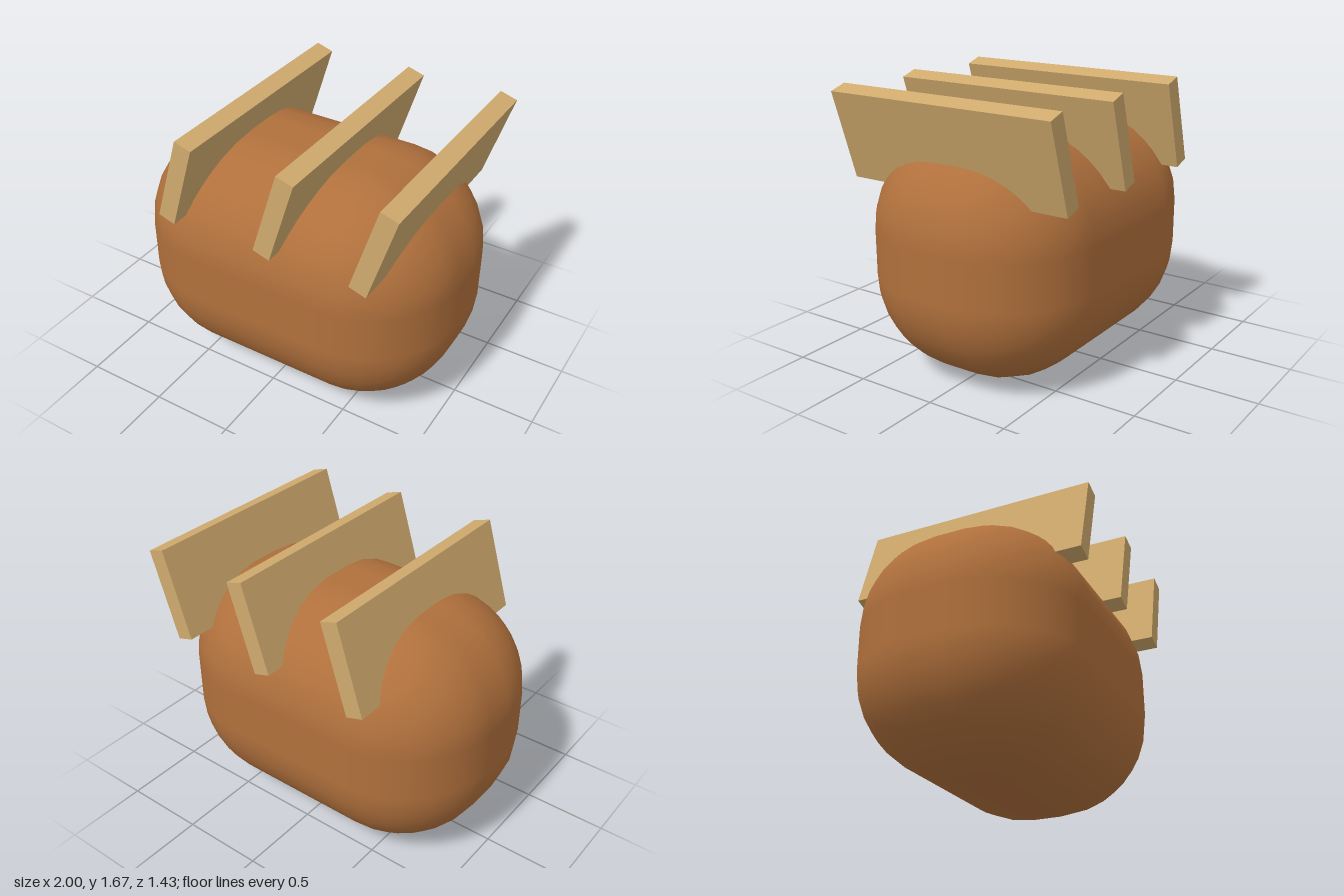
import * as THREE from 'three';
import { RoundedBoxGeometry } from 'three/addons/geometries/RoundedBoxGeometry.js';

export function createModel() {
  const group = new THREE.Group();
  const crust = new THREE.MeshStandardMaterial({ color: 0xb0703c });
  const wood = new THREE.MeshStandardMaterial({ color: 0xcfaa6d });

  // Smooth, heavily rounded body
  const body = new THREE.Mesh(new RoundedBoxGeometry(2, 1.45, 1.365, 4, 0.59), crust);
  body.name = 'body';
  body.position.y = 0.725;
  group.add(body);

  // Three leaning slats sunk into the top
  const slatGeometry = new THREE.BoxGeometry(0.108, 0.543, 1.435);
  [-0.457, 0.18, 0.77].forEach((x, i) => {
    const slat = new THREE.Mesh(slatGeometry, wood);
    slat.name = `slat${i + 1}`;
    slat.position.set(x, 1.395, 0);
    slat.rotation.z = -0.3;
    group.add(slat);
  });

  return group;
}
